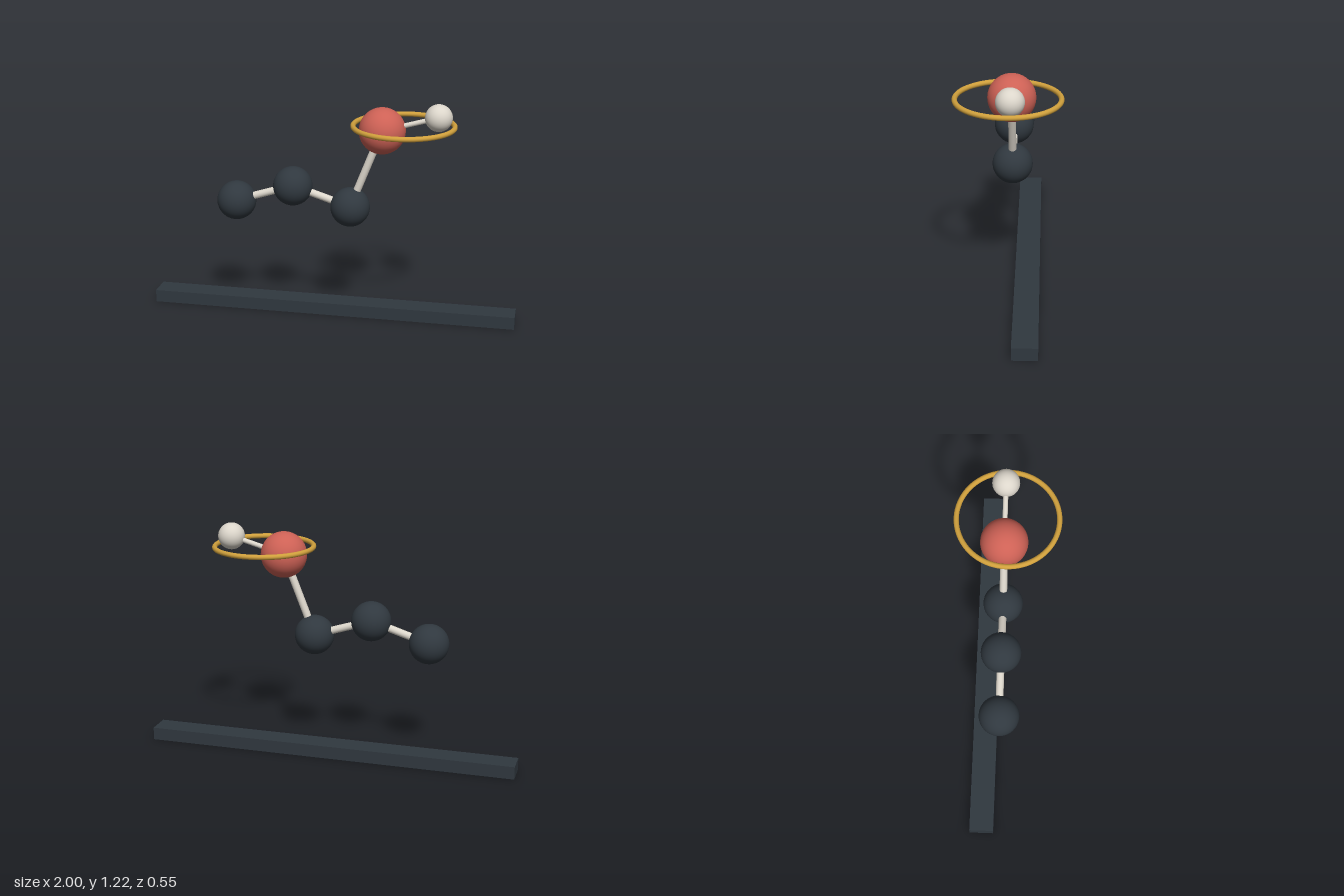
import * as THREE from 'three';

const material = (name, color) => {
  const m = new THREE.MeshStandardMaterial({ color });
  m.name = name;
  return m;
};

export function createModel() {
  const charcoal = material('charcoal', 0x30383f);
  const red = material('red', 0xcd6155);
  const cream = material('cream', 0xdcd6cb);
  const gold = material('gold', 0xd0a03c);

  const model = new THREE.Group();
  model.name = 'molecule';
  const add = (name, geometry, mat, position) => {
    const mesh = new THREE.Mesh(geometry, mat);
    mesh.name = name;
    mesh.position.copy(position);
    model.add(mesh);
    return mesh;
  };

  // Atoms along the chain, all in one plane
  const z = -0.015;
  const atoms = [
    ['carbonEnd', -0.51, 0.64, 0.105, charcoal],
    ['carbonMiddle', -0.2, 0.738, 0.105, charcoal],
    ['carbonInner', 0.11, 0.64, 0.105, charcoal],
    ['oxygen', 0.276, 1.064, 0.122, red],
    ['hydrogen', 0.567, 1.146, 0.071, cream],
  ];
  const points = atoms.map(([name, x, y, radius, mat]) => {
    const p = new THREE.Vector3(x, y, z);
    add(name, new THREE.SphereGeometry(radius, 40, 28), mat, p);
    return p;
  });

  // Rods joining each atom to the next; the last one is thinner
  const up = new THREE.Vector3(0, 1, 0);
  const bondRadii = [0.02, 0.02, 0.02, 0.013];
  bondRadii.forEach((radius, i) => {
    const span = points[i + 1].clone().sub(points[i]);
    const centre = points[i].clone().addScaledVector(span, 0.5);
    const bond = add('bond' + (i + 1),
      new THREE.CylinderGeometry(radius, radius, span.length(), 20), cream, centre);
    bond.quaternion.setFromUnitVectors(up, span.normalize());
  });

  // Level ring around the end group
  const ring = add('ring', new THREE.TorusGeometry(0.261, 0.0135, 14, 80), gold,
    new THREE.Vector3(0.39, 1.098, 0));
  ring.rotation.x = Math.PI / 2;

  // Long bar on the ground
  add('baseBar', new THREE.BoxGeometry(2, 0.068, 0.13), charcoal,
    new THREE.Vector3(0, 0.034, -0.097));

  return model;
}
